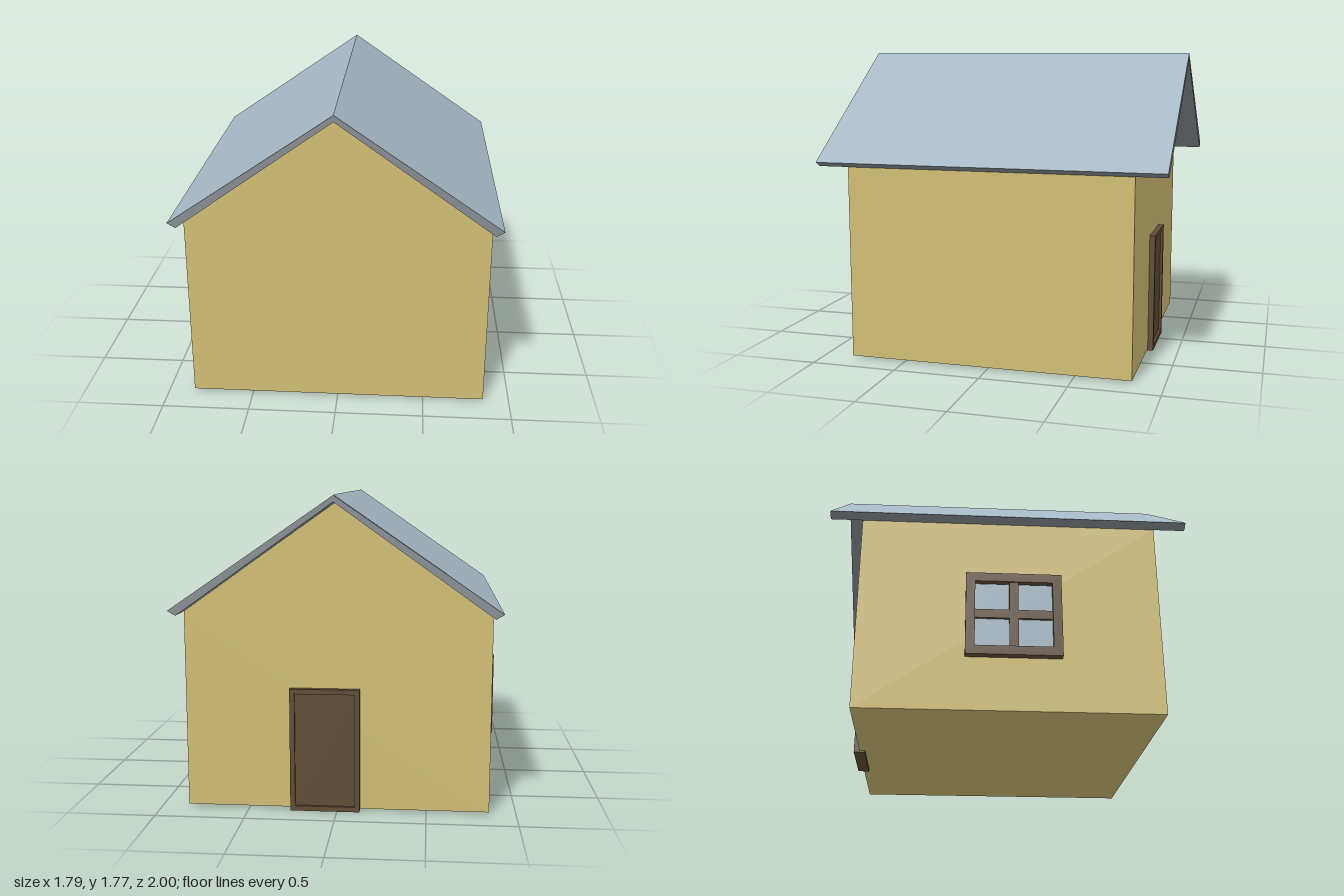
import * as THREE from 'three';

const mat = (name, color) => {
  const m = new THREE.MeshStandardMaterial({ color });
  m.name = name;
  return m;
};

export function createModel() {
  const wall = mat('ochre wall', 0xd0bd74);
  const slate = mat('blue grey roofing', 0xa5b7c3);
  const trim = mat('grey roof trim', 0x858c90);
  const wood = mat('dark brown wood', 0x5f4c35);
  const glass = mat('window glass', 0xa5b7c3);

  const house = new THREE.Group();
  house.name = 'house';

  const add = (parent, name, geometry, material) => {
    const mesh = new THREE.Mesh(geometry, material);
    mesh.name = name;
    parent.add(mesh);
    return mesh;
  };
  const box = (parent, name, material, w, h, d, x, y, z) =>
    add(parent, name, new THREE.BoxGeometry(w, h, d), material).position.set(x, y, z);
  // Outline in x and y, extruded along z and centred on z = 0
  const prism = (points, depth) => {
    const shape = new THREE.Shape(points.map(([x, y]) => new THREE.Vector2(x, y)));
    return new THREE.ExtrudeGeometry(shape, { depth, bevelEnabled: false })
      .translate(0, 0, -depth / 2);
  };

  // Walls with both gables
  add(house, 'walls', prism(
    [[-0.85, 0.012], [0.85, 0.012], [0.85, 1.125], [0, 1.728], [-0.85, 1.125]], 1.645), wall);

  // Roof slab, with its ends, eaves and underside in trim colour
  const eaveX = 0.895, eaveY = 1.15, ridgeY = 1.765;
  add(house, 'roofSlab', prism([
    [-eaveX, eaveY], [-0.85, 1.124], [0, 1.729], [0.85, 1.124], [eaveX, eaveY], [0, ridgeY - 0.001],
  ], 2), trim);

  // Roofing sheets on the two slopes
  const slope = Math.hypot(eaveX, ridgeY - eaveY);
  const pitch = Math.atan2(ridgeY - eaveY, eaveX);
  for (const side of [-1, 1]) {
    const sheet = add(house, side < 0 ? 'rightRoofing' : 'leftRoofing',
      new THREE.PlaneGeometry(slope, 2).rotateX(-Math.PI / 2), slate);
    sheet.rotation.z = -side * pitch;
    sheet.position.set(side * eaveX / 2, (ridgeY + eaveY) / 2 + 0.002, 0);
  }

  // Rectangular frame facing +z, its back on z = 0
  const frame = (parent, w, h, border, depth) => {
    const outline = new THREE.Shape([
      new THREE.Vector2(-w / 2, 0), new THREE.Vector2(w / 2, 0),
      new THREE.Vector2(w / 2, h), new THREE.Vector2(-w / 2, h)]);
    const a = w / 2 - border, top = h - border;
    outline.holes.push(new THREE.Path([
      new THREE.Vector2(-a, border), new THREE.Vector2(-a, top),
      new THREE.Vector2(a, top), new THREE.Vector2(a, border)]));
    add(parent, 'frame', new THREE.ExtrudeGeometry(outline, { depth, bevelEnabled: false }), wood);
  };

  // Door in the back wall
  const door = new THREE.Group();
  door.name = 'door';
  frame(door, 0.39, 0.7, 0.028, 0.033);
  box(door, 'doorPanel', wood, 0.35, 0.66, 0.02, 0, 0.35, 0.008);
  box(door, 'sill', wood, 0.39, 0.028, 0.064, 0, 0.014, 0);
  door.position.set(0.067, 0.001, -0.822);
  door.rotation.y = Math.PI;
  house.add(door);

  // Four-pane window in the right wall
  const win = new THREE.Group();
  win.name = 'window';
  frame(win, 0.52, 0.48, 0.05, 0.046);
  box(win, 'uprightBar', wood, 0.05, 0.4, 0.038, 0, 0.24, 0.019);
  box(win, 'crossBar', wood, 0.44, 0.05, 0.036, 0, 0.24, 0.018);
  for (const x of [-0.12, 0.12]) for (const y of [0.14, 0.34]) {
    box(win, 'pane', glass, 0.2, 0.17, 0.008, x, y, 0.016);
  }
  win.position.set(-0.85, 0.31, 0.02);
  win.rotation.y = -Math.PI / 2;
  house.add(win);

  return house;
}
